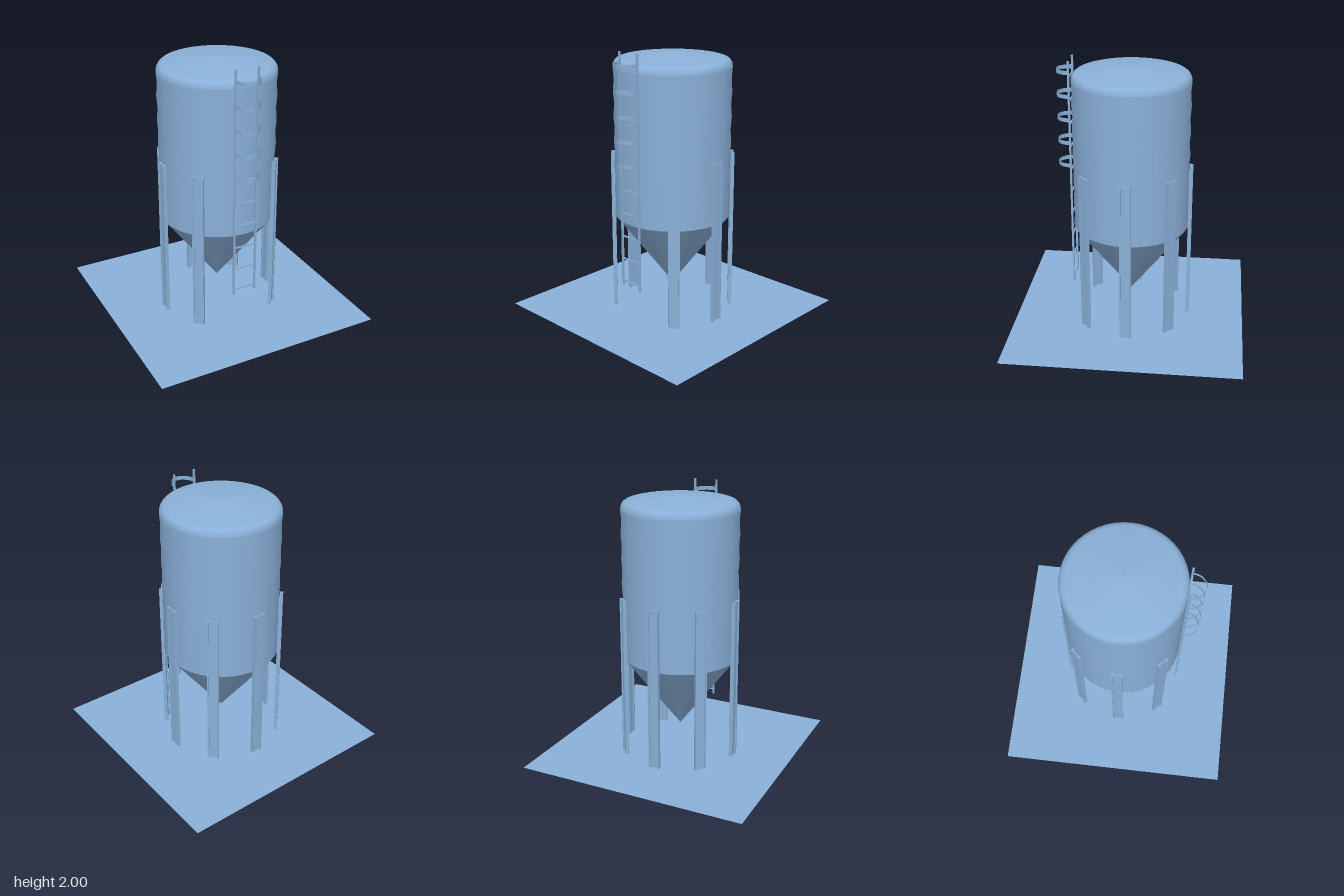
import * as THREE from 'three';

export function createModel() {
  const model = new THREE.Group();
  model.name = 'silo';
  const steel = new THREE.MeshStandardMaterial({ color: 0x8ab0d8, side: THREE.DoubleSide });
  steel.name = 'steelBlue';

  const add = (parent, name, geometry, x = 0, y = 0, z = 0) => {
    const mesh = new THREE.Mesh(geometry, steel);
    mesh.name = name;
    mesh.position.set(x, y, z);
    parent.add(mesh);
    return mesh;
  };
  const lathe = (points) =>
    new THREE.LatheGeometry(points.map(([r, y]) => new THREE.Vector2(r, y)), 48);

  // Ground sheet
  add(model, 'groundSheet', new THREE.PlaneGeometry(1.735, 1.735).rotateX(-Math.PI / 2));

  // Tank: discharge cone, gently rippled wall, domed roof
  const tank = new THREE.Group();
  tank.name = 'tank';
  model.add(tank);
  add(tank, 'cone', lathe([[0, 0.18], [0.43, 0.75]]));

  const y0 = 0.75, y1 = 1.86, steps = 48;
  const profile = [];
  for (let i = 0; i <= steps; i++) {
    const t = i / steps;
    profile.push([0.427 + 0.003 * Math.cos(t * Math.PI * 12), y0 + (y1 - y0) * t]);
  }
  const wall = lathe(profile);
  // Even radial normals keep the ripples soft
  const pos = wall.attributes.position, normal = wall.attributes.normal;
  for (let i = 0; i < pos.count; i++) {
    const r = Math.hypot(pos.getX(i), pos.getZ(i));
    normal.setXYZ(i, pos.getX(i) / r, 0, pos.getZ(i) / r);
  }
  add(tank, 'wall', wall);
  add(tank, 'roof', lathe([
    [0.43, 1.86], [0.427, 1.88], [0.417, 1.898], [0.402, 1.911], [0.38, 1.918], [0.2, 1.939], [0, 1.96],
  ]));

  // Seven I-beam legs; the front position is left free for the ladder
  const legHeight = 1.22;
  for (let i = 1; i < 8; i++) {
    const leg = new THREE.Group();
    leg.name = `leg${i}`;
    leg.rotation.y = (i * Math.PI) / 4;
    for (const side of [-1, 1]) {
      add(leg, 'flange', new THREE.BoxGeometry(0.012, legHeight, 0.027), side * 0.036, legHeight / 2, 0.44);
    }
    add(leg, 'web', new THREE.BoxGeometry(0.062, legHeight, 0.009), 0, legHeight / 2, 0.44);
    model.add(leg);
  }

  // Ladder with rails, rungs and safety hoops
  const ladder = new THREE.Group();
  ladder.name = 'ladder';
  model.add(ladder);
  const railZ = 0.436;
  for (const side of [-1, 1]) {
    add(ladder, 'rail', new THREE.BoxGeometry(0.012, 1.735, 0.015), side * 0.087, 1.1325, railZ);
  }
  for (let i = 0; i < 10; i++) {
    add(ladder, 'rung', new THREE.BoxGeometry(0.17, 0.01, 0.01), 0, 0.305 + i * 0.175, railZ);
  }
  for (let i = 0; i < 5; i++) {
    const band = new THREE.CylinderGeometry(0.088, 0.088, 0.03, 24, 1, true, -Math.PI / 2, Math.PI);
    band.scale(1, 1, 1.14);
    add(ladder, 'safetyHoop', band, 0, 1.22 + i * 0.174, railZ + 0.001);
  }

  return model;
}
